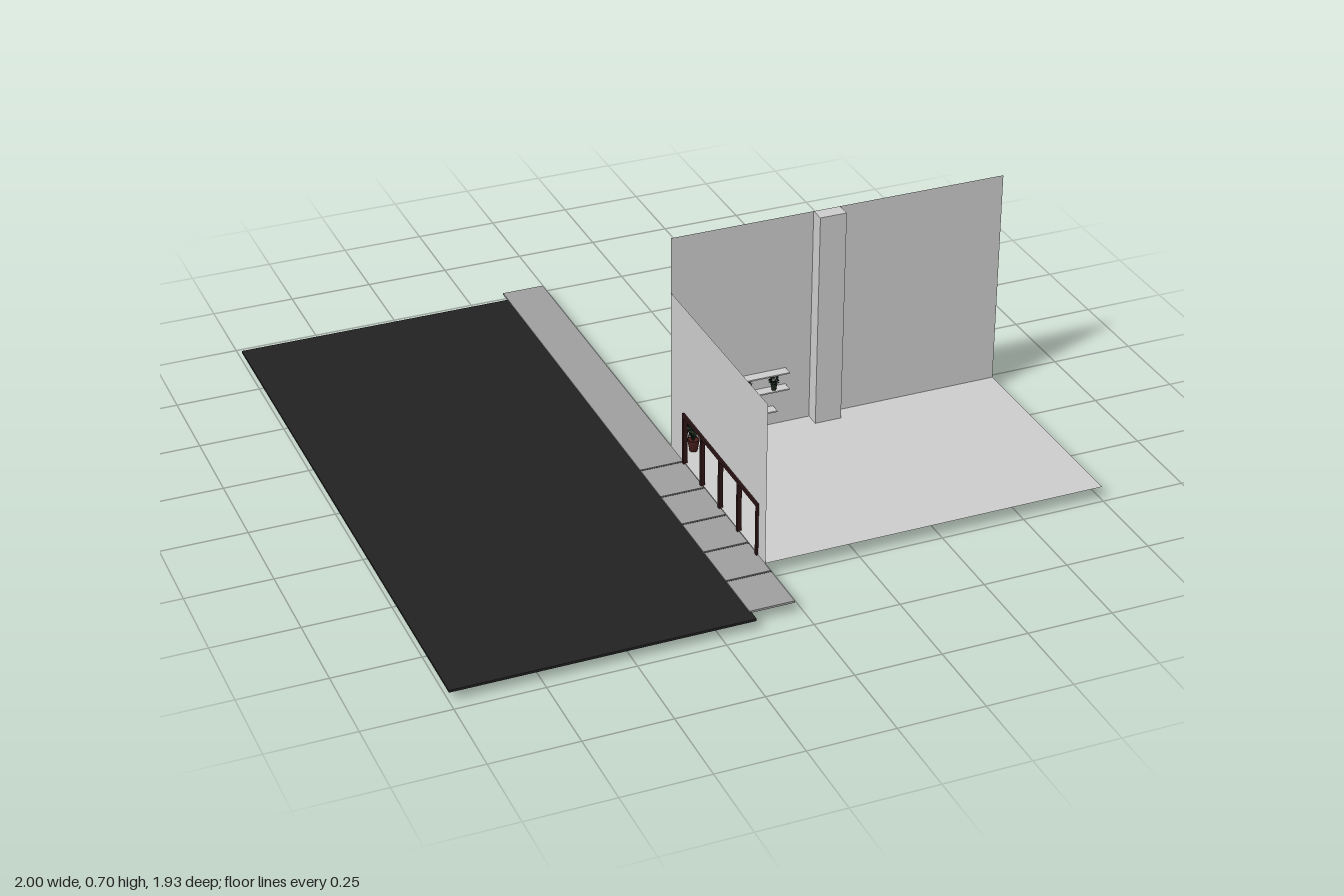
import * as THREE from 'three';
import { mergeGeometries } from 'three/addons/utils/BufferGeometryUtils.js';

const mat = (color) => new THREE.MeshStandardMaterial({ color, side: THREE.DoubleSide });
const GREY = mat(0xcccccc);
const ASPHALT = mat(0x222222);
const PAVING = mat(0x9e9e9e);
const JOINT = mat(0x404040);
const WOOD = mat(0x2e1517);
const POT = mat(0x4a1f1c);
const LEAF = mat(0x1c2a1e);

const FLOOR = 0.04, WALL_Z = 0.073, FACADE_X = -0.025, FRONT_Z = 0.738, TOP = 0.703;

function add(parent, name, geometry, material) {
  const mesh = new THREE.Mesh(geometry, material);
  mesh.name = name;
  parent.add(mesh);
  return mesh;
}

// Box given by its extents on each axis
function box(parent, name, [x0, x1], [y0, y1], [z0, z1], material = GREY) {
  const mesh = add(parent, name, new THREE.BoxGeometry(x1 - x0, y1 - y0, z1 - z0), material);
  mesh.position.set((x0 + x1) / 2, (y0 + y1) / 2, (z0 + z1) / 2);
  return mesh;
}

// Vertical sheet folded along a floor plan of [x, z] points
function foldedSheet(plan, y0, y1) {
  const positions = [];
  for (let i = 0; i < plan.length - 1; i++) {
    const [ax, az] = plan[i], [bx, bz] = plan[i + 1];
    positions.push(ax, y0, az, bx, y0, bz, bx, y1, bz, ax, y0, az, bx, y1, bz, ax, y1, az);
  }
  const g = new THREE.BufferGeometry();
  g.setAttribute('position', new THREE.Float32BufferAttribute(positions, 3));
  g.computeVertexNormals();
  return g;
}

function seeded(seed) {
  return () => (seed = (seed * 16807) % 2147483647) / 2147483647;
}

// Tapered pot with leaves on thin stems filling a ball above it
function pottedPlant(name, { potR, potH, ballR, ballY, leaf, count, potMat, seed }) {
  const group = new THREE.Group();
  group.name = name;
  const profile = [[0, 0], [potR * 0.65, 0], [potR, potH], [potR * 0.85, potH], [potR * 0.8, potH * 0.88], [0, potH * 0.88]];
  add(group, 'pot', new THREE.LatheGeometry(profile.map(([r, y]) => new THREE.Vector2(r, y)), 12), potMat);

  const rand = seeded(seed);
  const shape = new THREE.Shape();
  shape.moveTo(0, 0);
  shape.quadraticCurveTo(leaf * 0.38, leaf * 0.45, 0, leaf);
  shape.quadraticCurveTo(-leaf * 0.38, leaf * 0.45, 0, 0);
  const up = new THREE.Vector3(0, 1, 0);
  const root = new THREE.Vector3(0, potH * 0.85, 0);
  const leaves = [], stems = [];
  for (let i = 0; i < count; i++) {
    const h = 1 - (1.7 * (i + 0.5)) / count;
    const a = i * 2.4;
    const s = Math.sqrt(1 - h * h);
    const dir = new THREE.Vector3(Math.cos(a) * s, h, Math.sin(a) * s);
    const base = dir.clone().multiplyScalar((ballR - leaf) * (0.55 + 0.45 * rand()));
    base.y += ballY;
    const g = new THREE.ShapeGeometry(shape, 4);
    g.rotateY(rand() * Math.PI * 2);
    g.applyQuaternion(new THREE.Quaternion().setFromUnitVectors(up, dir));
    leaves.push(g.translate(base.x, base.y, base.z));
    if (i % 5 === 0) stems.push(new THREE.TubeGeometry(new THREE.LineCurve3(root, base), 1, ballR * 0.025, 4));
  }
  add(group, 'leaves', mergeGeometries(leaves), LEAF);
  add(group, 'stems', mergeGeometries(stems), LEAF);
  return group;
}

export function createModel() {
  const model = new THREE.Group();
  model.name = 'streetCornerRoom';

  // Street and pavement with joints
  box(model, 'road', [-1, -0.15], [0.028, 0.035], [-0.93, 0.965], ASPHALT);
  box(model, 'pavement', [-0.155, FACADE_X], [0.032, 0.038], [-0.97, 0.93], PAVING);
  for (let i = 0; i < 5; i++) {
    const z = 0.165 + i * 0.1525;
    box(model, 'pavementJoint', [-0.155, FACADE_X], [0.0375, 0.0385], [z - 0.004, z + 0.004], JOINT);
  }

  // Room floor
  const floor = add(model, 'floor', new THREE.PlaneGeometry(1 - FACADE_X, FRONT_Z - WALL_Z), GREY);
  floor.rotation.x = -Math.PI / 2;
  floor.position.set((1 + FACADE_X) / 2, FLOOR, (FRONT_Z + WALL_Z) / 2);

  // Back wall folded around a pillar, open behind and capped on top
  const [px0, px1, pz] = [0.406, 0.487, 0.118];
  const plan = [[FACADE_X, WALL_Z], [px0, WALL_Z], [px0, pz], [px1, pz], [px1, WALL_Z], [1, WALL_Z]];
  add(model, 'backWall', foldedSheet(plan, FLOOR, TOP), GREY);
  const cap = add(model, 'pillarCap', new THREE.PlaneGeometry(px1 - px0, pz - WALL_Z), GREY);
  cap.rotation.x = -Math.PI / 2;
  cap.position.set((px0 + px1) / 2, TOP, (pz + WALL_Z) / 2);

  // Street facade with a wide window opening, drawn in z and y
  const facadeShape = new THREE.Shape();
  facadeShape.moveTo(WALL_Z, 0).lineTo(FRONT_Z, 0).lineTo(FRONT_Z, 0.533).lineTo(WALL_Z, 0.533).closePath();
  const opening = new THREE.Path();
  opening.moveTo(0.172, 0.014).lineTo(0.172, 0.199).lineTo(0.688, 0.199).lineTo(0.688, 0.014).closePath();
  facadeShape.holes.push(opening);
  const facade = add(model, 'facade', new THREE.ShapeGeometry(facadeShape), GREY);
  facade.rotation.y = -Math.PI / 2;
  facade.position.x = FACADE_X;

  // Window frame
  const frame = new THREE.Group();
  frame.name = 'windowFrame';
  model.add(frame);
  const depth = [FACADE_X - 0.006, FACADE_X + 0.006];
  box(frame, 'windowHead', depth, [0.189, 0.2], [0.17, 0.69], WOOD);
  for (let i = 0; i < 5; i++) {
    const z = 0.175 + i * 0.1275;
    box(frame, 'windowPost', depth, [0.034, 0.19], [z - 0.005, z + 0.005], WOOD);
  }

  // Framed panel set through the back wall
  box(model, 'pictureFrame', [0.07, 0.135], [0.13, 0.25], [WALL_Z - 0.004, WALL_Z + 0.006], WOOD);
  box(model, 'pictureFace', [0.073, 0.132], [0.133, 0.247], [WALL_Z + 0.005, WALL_Z + 0.007]);

  // Wall shelves
  for (const [x, y] of [[0.172, 0.216], [0.172, 0.163], [0.135, 0.098]]) {
    box(model, 'shelf', [x, x + 0.157], [y - 0.002, y + 0.002], [WALL_Z, 0.104]);
  }

  // Plants
  const tall = pottedPlant('floorPlant', {
    potR: 0.018, potH: 0.036, ballR: 0.045, ballY: 0.08, leaf: 0.022, count: 110, potMat: POT, seed: 11,
  });
  tall.position.set(0.024, FLOOR, 0.122);
  model.add(tall);
  [0.2, 0.285].forEach((x, i) => {
    const small = pottedPlant('shelfPlant', {
      potR: 0.01, potH: 0.022, ballR: 0.02, ballY: 0.031, leaf: 0.011, count: 50, potMat: LEAF, seed: 31 + i,
    });
    small.position.set(x, 0.165, 0.092);
    model.add(small);
  });

  return model;
}
